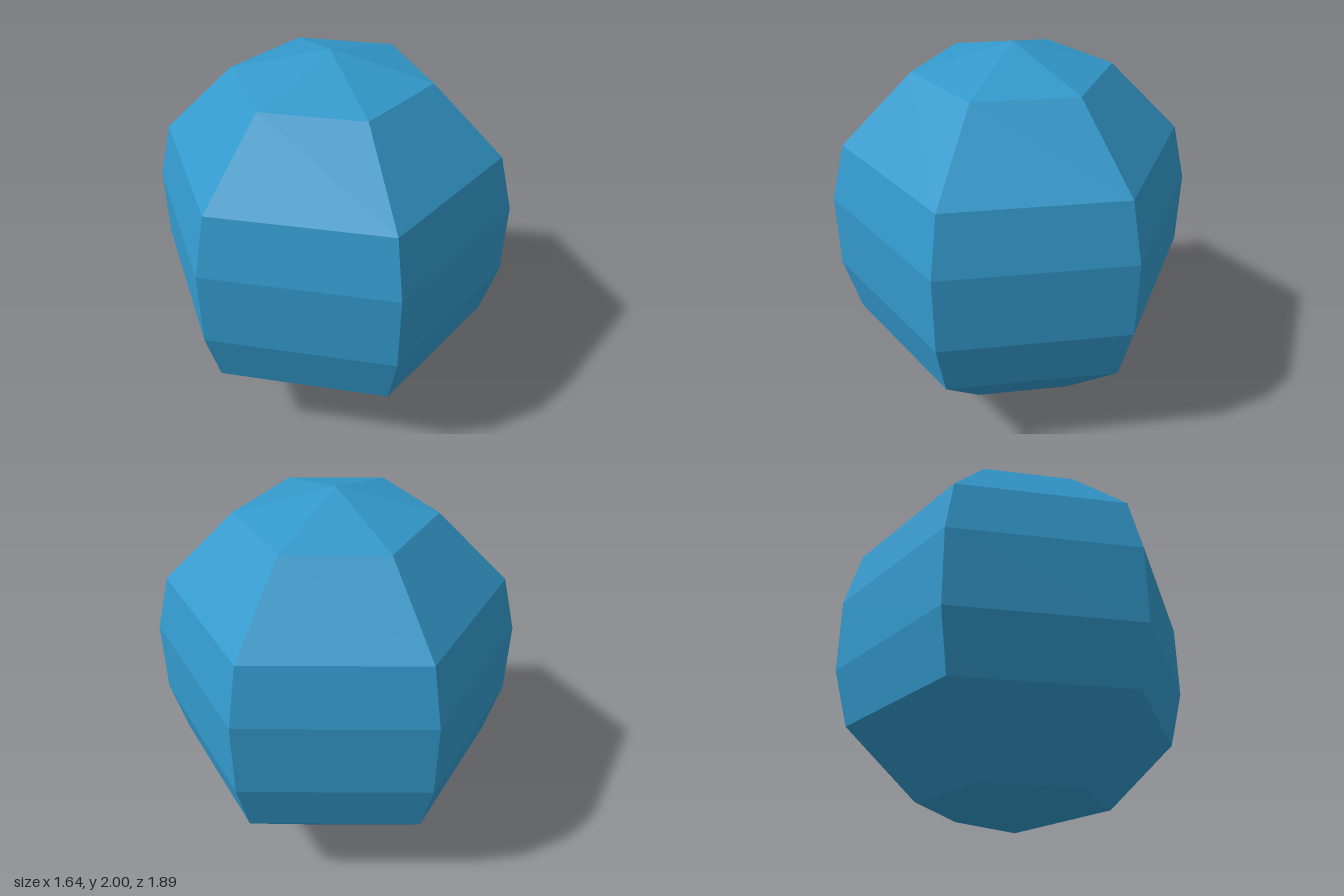
import * as THREE from 'three';

export function createModel() {
  const group = new THREE.Group();
  group.name = 'facetedBall';

  const blue = new THREE.MeshStandardMaterial({ color: 0x3399cc });
  blue.name = 'blue';
  blue.flatShading = true;

  // Radius and height of each ring, from the bottom point to the top point
  const profile = [
    [0, 0], [0.5, 0.134], [0.866, 0.5], [0.945, 0.8],
    [0.945, 1.2], [0.866, 1.5], [0.5, 1.866], [0, 2],
  ].map(([r, y]) => new THREE.Vector2(r, y));

  // Six-sided body with corners towards the front and back
  const body = new THREE.Mesh(new THREE.LatheGeometry(profile, 6), blue);
  body.name = 'body';
  group.add(body);

  return group;
}
